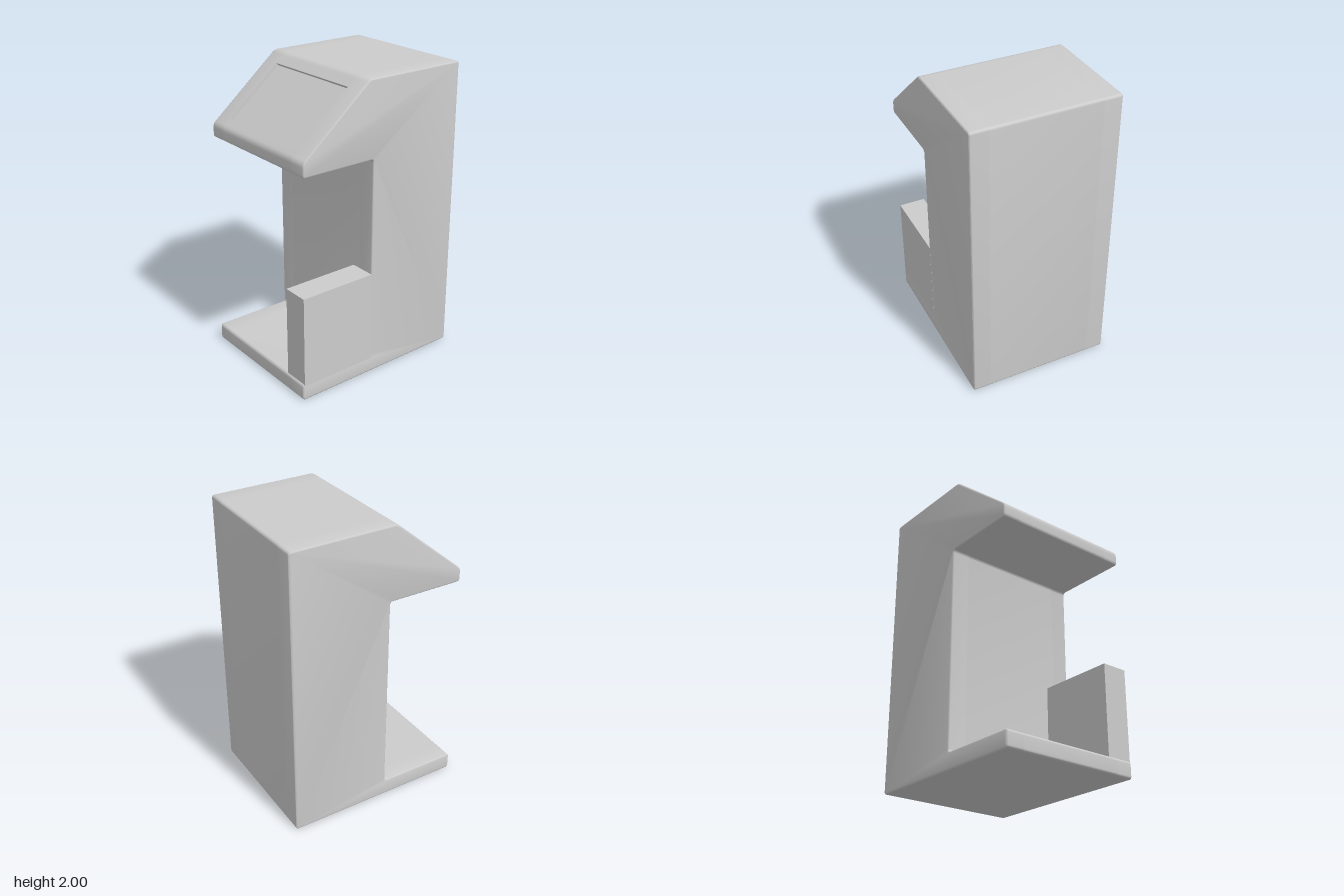
import * as THREE from 'three';
import { toCreasedNormals } from 'three/addons/utils/BufferGeometryUtils.js';

const HALF = 0.489;     // half depth of the cabinet
const SCREEN = 0.366;   // half depth of the screen recess
const BEVEL = 0.01;
const material = new THREE.MeshStandardMaterial({ color: 0xcccccc });

// Closed outline from [x, y, radius] corners, each eased by its radius
function roundedShape(corners) {
  const shape = new THREE.Shape();
  const pts = corners.map(c => new THREE.Vector2(c[0], c[1]));
  corners.forEach(([x, y, r], i) => {
    const p = pts[i];
    const toward = q => q.clone().sub(p).setLength(r).add(p);
    const a = toward(pts[(i + pts.length - 1) % pts.length]);
    const b = toward(pts[(i + 1) % pts.length]);
    if (i === 0) shape.moveTo(a.x, a.y); else shape.lineTo(a.x, a.y);
    if (r > 0) shape.quadraticCurveTo(x, y, b.x, b.y);
  });
  return shape;
}

// Side outline of the cabinet; extra corners may be set into the sloping face
function profile(slopeCorners = []) {
  return roundedShape([
    [-0.62, 0, 0.02], [0.62, 0, 0.02], [0.62, 2, 0.02], [-0.105, 2, 0.025],
    ...slopeCorners,
    [-0.6, 1.585, 0.025], [-0.6, 1.495, 0.02], [-0.072, 1.495, 0.02],
    [-0.072, 0.113, 0.02], [-0.62, 0.113, 0.02],
  ]);
}

// Extrusion from z0 to z1 with a small bevel only on ends lying on the outside
function band(name, shape, z0, z1) {
  const start = z0 <= -HALF ? z0 + BEVEL : z0;
  const end = z1 >= HALF ? z1 - BEVEL : z1;
  const outer = start !== z0 || end !== z1;
  const geo = new THREE.ExtrudeGeometry(shape, {
    depth: end - start, curveSegments: 5, bevelEnabled: outer,
    bevelSize: BEVEL, bevelThickness: BEVEL, bevelOffset: -BEVEL, bevelSegments: 3,
  });
  geo.translate(0, 0, start);
  // flatten the bevel on the inner end
  const pos = geo.attributes.position;
  for (let i = 0; i < pos.count; i++) pos.setZ(i, THREE.MathUtils.clamp(pos.getZ(i), z0, z1));
  const mesh = new THREE.Mesh(toCreasedNormals(geo, 0.6), material);
  mesh.name = name;
  return mesh;
}

export function createModel() {
  const group = new THREE.Group();
  group.name = 'kioskCabinet';

  // Screen recess: a shallow notch cut square into the slope
  const top = new THREE.Vector2(-0.105, 2);
  const low = new THREE.Vector2(-0.6, 1.585);
  const dir = low.clone().sub(top).normalize();
  const inward = new THREE.Vector2(-dir.y, dir.x).multiplyScalar(0.02);
  const onSlope = x => top.clone().addScaledVector(dir, (x - top.x) / dir.x);
  const a = onSlope(-0.177), b = onSlope(-0.541);
  const notch = [a, a.clone().add(inward), b.clone().add(inward), b].map(p => [p.x, p.y, 0]);

  // Cabinet: two full cheeks and a notched middle that carries the screen
  group.add(band('rightCheek', profile(), -HALF, -SCREEN));
  group.add(band('screenBody', profile(notch), -SCREEN, SCREEN));
  group.add(band('leftCheek', profile(), SCREEN, HALF));

  // Upright box on the base shelf, flush with one side
  const box = new THREE.Mesh(new THREE.BoxGeometry(0.545, 0.62, 0.18), material);
  box.name = 'shelfBox';
  box.position.set(-0.337, 0.41, HALF - 0.09);
  group.add(box);

  // The whole cabinet stands very slightly turned
  const turned = new THREE.Group();
  group.rotation.y = THREE.MathUtils.degToRad(1);
  turned.name = 'kiosk';
  turned.add(group);
  return turned;
}
